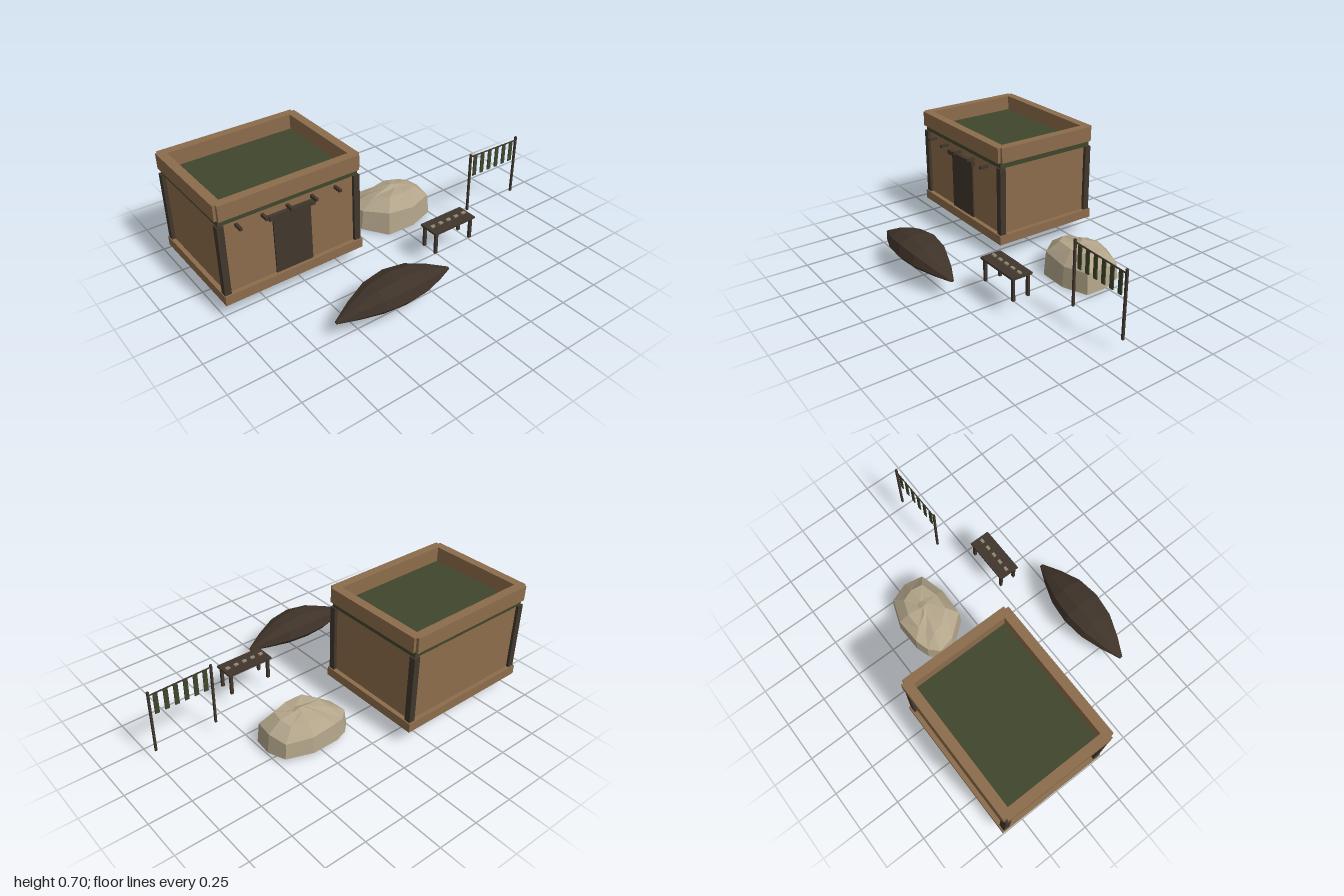
import * as THREE from 'three';

const material = (name, color, extra = {}) => {
  const m = new THREE.MeshStandardMaterial({ color, ...extra });
  m.name = name;
  return m;
};

// Skin closed rings of [x, y, z] points and cap both ends
function loft(rings, startTip, endTip) {
  const n = rings[0].length;
  const pos = [...rings.flat(), startTip, endTip].flat();
  const start = rings.length * n, end = start + 1, index = [];
  for (let i = 0; i < n; i++) {
    const j = (i + 1) % n, last = (rings.length - 1) * n;
    for (let r = 0; r < rings.length - 1; r++) {
      const a = r * n, b = a + n;
      index.push(a + i, a + j, b + j, a + i, b + j, b + i);
    }
    index.push(start, j, i, end, last + i, last + j);
  }
  const g = new THREE.BufferGeometry();
  g.setAttribute('position', new THREE.Float32BufferAttribute(pos, 3));
  g.setIndex(index);
  const flat = g.toNonIndexed();
  flat.computeVertexNormals();
  return flat;
}

export function createModel() {
  const model = new THREE.Group();
  const clay = material('clay', 0x8c6c4c);
  const green = material('dark green', 0x40462c);
  const wood = material('dark wood', 0x41362c);
  const hide = material('hull hide', 0x3f3329, { flatShading: true });
  const stone = material('stone', 0xb3a58a, { flatShading: true });
  const pale = material('pale goods', 0x8f8872);

  const group = (name) => {
    const g = new THREE.Group();
    g.name = name;
    model.add(g);
    return g;
  };
  // Box given by its extents on each axis
  const box = (parent, name, mat, [x0, x1], [y0, y1], [z0, z1]) => {
    const m = new THREE.Mesh(new THREE.BoxGeometry(x1 - x0, y1 - y0, z1 - z0), mat);
    m.position.set((x0 + x1) / 2, (y0 + y1) / 2, (z0 + z1) / 2);
    m.name = name;
    parent.add(m);
    return m;
  };

  // House: plinth, walls, corner posts and roof slab
  const house = group('house');
  box(house, 'plinth', clay, [-1, -0.133], [0.1, 0.157], [-0.641, 0.045]);
  box(house, 'walls', clay, [-0.975, -0.16], [0.157, 0.575], [-0.615, 0.018]);
  box(house, 'roofSlab', green, [-0.985, -0.149], [0.575, 0.611], [-0.623, 0.026]);
  for (const x of [-0.996, -0.178])
    for (const z of [-0.632, -0.002])
      box(house, 'cornerPost', wood, [x, x + 0.038], [0.157, 0.575], [z, z + 0.038]);

  // Parapet with small notches at the outer corners
  for (const z of [-0.641, -0.009])
    box(house, 'longParapet', clay, [-0.985, -0.149], [0.611, 0.702], [z, z + 0.054]);
  for (const x of [-1, -0.186])
    box(house, 'shortParapet', clay, [x, x + 0.053], [0.611, 0.702], [-0.623, 0.026]);

  // Door, lintel and projecting roof beams
  box(house, 'door', wood, [-0.68, -0.452], [0.157, 0.505], [0.015, 0.027]);
  box(house, 'lintel', wood, [-0.707, -0.43], [0.502, 0.528], [0.01, 0.043]);
  for (let i = 0; i < 5; i++) {
    const x = -0.884 + i * 0.148;
    box(house, 'roofBeam', wood, [x - 0.008, x + 0.008], [0.538, 0.555], [0, 0.074]);
  }

  // Upturned boat: one section scaled along its length
  const section = [[0, -0.029], [-0.1, 0.002], [-0.127, 0.037], [-0.108, 0.099], [-0.04, 0.13],
    [0.04, 0.13], [0.108, 0.099], [0.127, 0.037], [0.1, 0.002]];
  const stations = [[-0.37, 0.08], [-0.26, 0.5], [-0.135, 0.87], [0, 1], [0.135, 0.87], [0.26, 0.5], [0.37, 0.08]];
  const hullRings = stations.map(([x, s]) => section.map(([z, y]) => [x, y * s, z * s]));
  const hull = new THREE.Mesh(loft(hullRings, [-0.371, 0.004, 0], [0.371, 0.004, 0]), hide);
  hull.position.set(-0.272, 0.123, 0.516);
  hull.name = 'upturnedBoat';
  model.add(hull);

  // Boulder: outline rings shrinking to an uneven crown
  const outline = [[0.02, -0.303], [0.04, -0.196], [0.147, -0.063], [0.328, -0.054], [0.488, -0.1],
    [0.507, -0.223], [0.472, -0.335], [0.323, -0.39], [0.157, -0.385], [0.077, -0.357]];
  const cx = 0.286, cz = -0.228;
  const crown = [0.185, 0.2, 0.218, 0.212, 0.212, 0.21, 0.195, 0.2, 0.185, 0.17];
  const ring = (scale, height) => outline.map(([x, z], i) =>
    [cx + (x - cx) * scale, height(x, z, i), cz + (z - cz) * scale]);
  const boulderRings = [
    ring(1, (x, z) => Math.max(0, 0.03 * (x - 0.2)) + 0.1 * Math.max(0, -0.054 - z)),
    ring(0.95, (x, z, i) => 0.13 + (i % 3) * 0.009),
    ring(0.6, (x, z, i) => crown[i]),
    ring(0.18, (x, z, i) => 0.214 + (i % 2) * 0.006),
  ];
  const boulder = new THREE.Mesh(loft(boulderRings, [cx, 0.013, cz], [cx, 0.234, cz]), stone);
  boulder.name = 'boulder';
  model.add(boulder);

  // Table with goods in a row
  const table = group('table');
  box(table, 'tableTop', wood, [0.139, 0.434], [0.231, 0.243], [0.232, 0.36]);
  for (const x of [0.149, 0.406])
    for (const z of [0.241, 0.336])
      box(table, 'tableLeg', wood, [x, x + 0.018], [0.1, 0.231], [z, z + 0.015]);
  for (let i = 0; i < 5; i++) {
    const x = 0.174 + i * 0.057;
    box(table, 'goods', pale, [x - 0.013, x + 0.013], [0.243, 0.252], [0.287, 0.304]);
  }

  // Drying rack: two poles, a line and hanging strips
  const rack = group('dryingRack');
  for (const x of [0.618, 0.992])
    box(rack, 'rackPole', wood, [x - 0.006, x + 0.006], [0.086, 0.473], [0.103, 0.115]);
  const line = box(rack, 'rackLine', wood, [0.618, 0.992], [0.45, 0.456], [0.106, 0.112]);
  line.rotation.z = -0.024;
  for (let i = 0; i < 6; i++) {
    const x = 0.657 + i * 0.0592;
    box(rack, 'hangingStrip', green, [x - 0.013, x + 0.013], [0.32, 0.451], [0.106, 0.112]);
  }

  return model;
}
